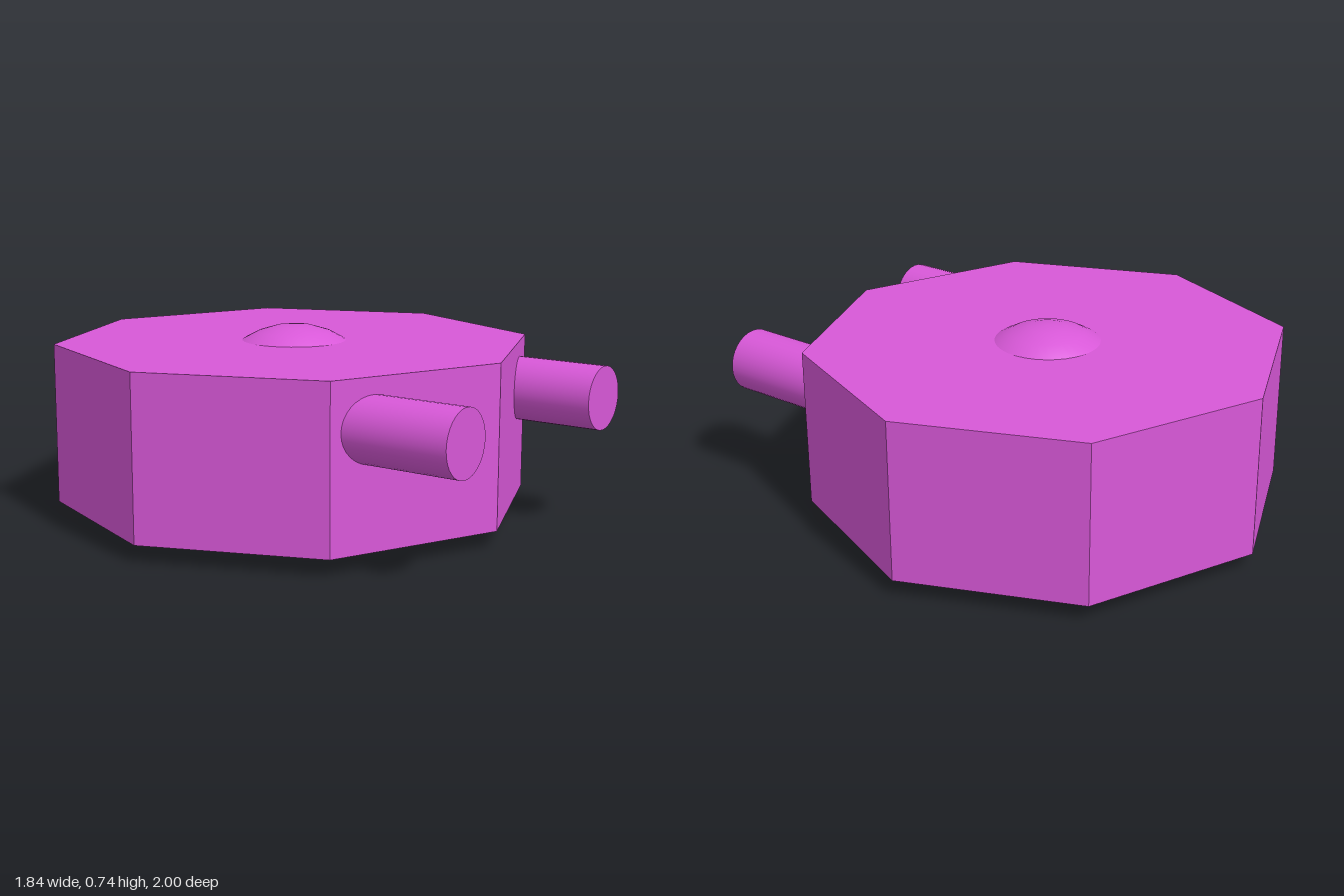
import * as THREE from 'three';

export function createModel() {
  const model = new THREE.Group();
  const centreZ = -0.08;

  const add = (name, geometry, x, y, z, flatShading = false) => {
    const material = new THREE.MeshStandardMaterial({ color: 0xd858d8, flatShading });
    const mesh = new THREE.Mesh(geometry, material);
    mesh.name = name;
    mesh.position.set(x, y, z);
    model.add(mesh);
    return mesh;
  };

  // Octagonal block with corners on the front, back and sides
  add('body', new THREE.CylinderGeometry(0.92, 0.92, 0.615, 8), 0, 0.3725, centreZ, true);

  // Ball in the middle, showing as a dome above and below
  add('centreBall', new THREE.SphereGeometry(0.37, 32, 16), 0, 0.37, centreZ);

  // Two round pegs pointing forward
  for (const [name, side] of [['leftPeg', 1], ['rightPeg', -1]]) {
    const peg = add(name, new THREE.CylinderGeometry(0.122, 0.122, 0.6, 32), side * 0.49, 0.497, 0.7);
    peg.rotation.x = Math.PI / 2;
  }

  return model;
}
